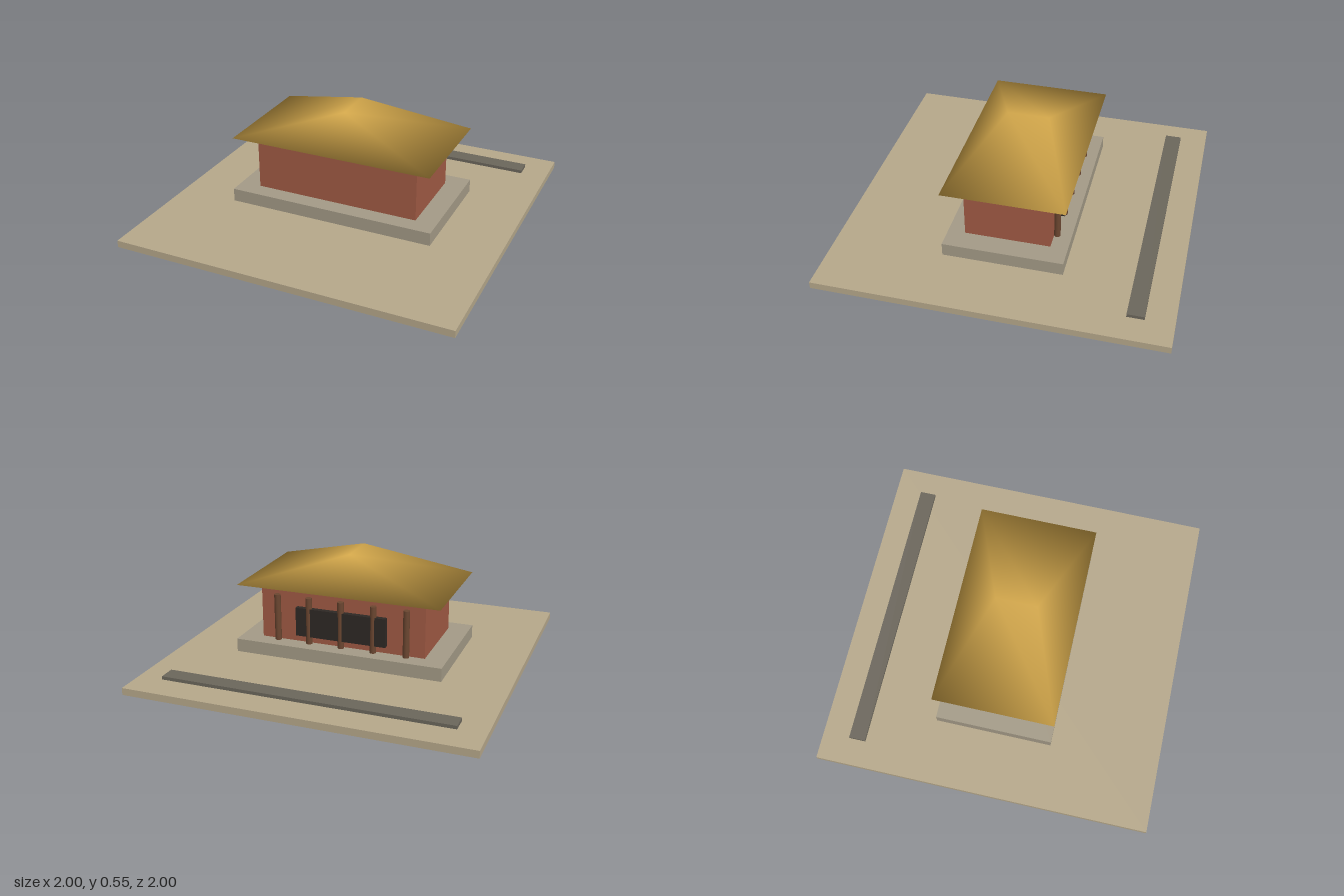
import * as THREE from 'three';

const material = (color) => new THREE.MeshStandardMaterial({ color });

function addMesh(parent, name, geometry, mat, x, y, z) {
  const mesh = new THREE.Mesh(geometry, mat);
  mesh.name = name;
  mesh.position.set(x, y, z);
  parent.add(mesh);
  return mesh;
}

// Box given by its width, depth and bottom/top heights
function addSlab(parent, name, mat, width, depth, y0, y1, x = 0, z = 0) {
  return addMesh(parent, name, new THREE.BoxGeometry(width, y1 - y0, depth), mat, x, (y0 + y1) / 2, z);
}

// Closed hipped roof with a short ridge running front to back, softly shaded
function roofGeometry(a, b, ridge, y0, y1) {
  const geometry = new THREE.BufferGeometry();
  geometry.setAttribute('position', new THREE.Float32BufferAttribute([
    -a, y0, -b, a, y0, -b, a, y0, b, -a, y0, b, // eaves
    0, y1, -ridge, 0, y1, ridge, // ridge ends
  ], 3));
  geometry.setIndex([
    0, 4, 1, // back
    1, 5, 2, 1, 4, 5, // left slope
    2, 5, 3, // front
    3, 4, 0, 3, 5, 4, // right slope
    0, 1, 2, 0, 2, 3, // underside
  ]);
  geometry.computeVertexNormals();
  return geometry;
}

export function createModel() {
  const model = new THREE.Group();
  model.name = 'house';

  // The whole plot is turned slightly about the vertical
  const plot = new THREE.Group();
  plot.name = 'plot';
  plot.rotation.y = -0.2195;
  model.add(plot);

  // Ground, path and plinth
  addSlab(plot, 'ground', material(0xb5a78a), 1.675, 1.675, 0, 0.035);
  addSlab(plot, 'path', material(0x6b665b), 1.415, 0.082, 0.04, 0.056, 0, -0.66);
  addSlab(plot, 'plinth', material(0xa39a86), 1.048, 0.586, 0.05, 0.116);

  // House body and roof
  addSlab(plot, 'walls', material(0xa05a44), 0.838, 0.418, 0.116, 0.367);
  addMesh(plot, 'roof', roofGeometry(0.511, 0.296, 0.102, 0.4, 0.553), material(0xd4a84b), 0, 0, 0);

  // Dark window panel on the back wall
  addSlab(plot, 'window', material(0x2e2824), 0.46, 0.03, 0.153, 0.297, 0, -0.22);

  // Row of posts in front of the back wall
  const postMaterial = material(0x6b4630);
  const postGeometry = new THREE.CylinderGeometry(0.016, 0.016, 0.235, 12);
  for (let i = -2; i <= 2; i++) {
    addMesh(plot, 'post', postGeometry, postMaterial, i * 0.165, 0.2335, -0.223);
  }

  return model;
}
